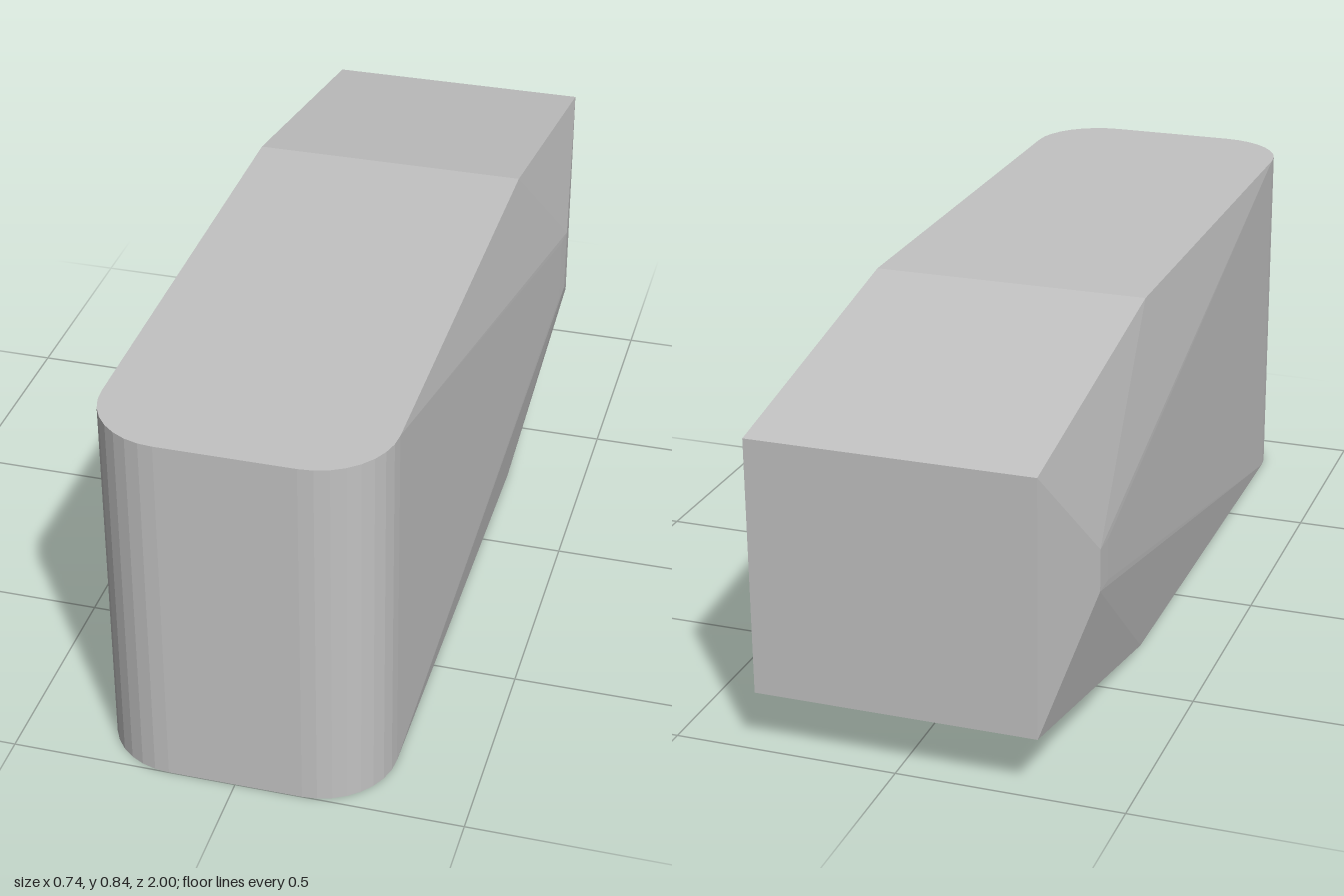
import * as THREE from 'three';
import { ConvexGeometry } from 'three/addons/geometries/ConvexGeometry.js';

export function createModel() {
  const grey = new THREE.MeshStandardMaterial({ color: 0xc2c2c2 });
  grey.name = 'plain grey';

  const halfWidth = 0.313, height = 0.84, radius = 0.165, steps = 8;
  const points = [];
  const add = (x, y, z) => points.push(new THREE.Vector3(x, y, z));

  // side bulges: a small raised facet, further back on the right hand of the model
  const bulges = {
    1: { y: [0.34, 0.50], spots: [[0.3652, -0.60], [0.367, -0.66]] },
    [-1]: { y: [0.37, 0.465], spots: [[0.3685, -0.71], [0.37, -0.77]] },
  };

  for (const side of [1, -1]) {
    // rounded upright front corners
    for (let i = 0; i <= steps; i++) {
      const a = (i / steps) * Math.PI / 2;
      const x = side * (halfWidth - radius + radius * Math.cos(a));
      const z = 1 - radius + radius * Math.sin(a);
      add(x, 0, z);
      add(x, height, z);
    }
    // start of the taper
    add(side * halfWidth, 0, -0.28);
    add(side * halfWidth, height, -0.28);
    // smaller back end
    add(side * halfWidth, 0.135, -1);
    add(side * halfWidth, 0.71, -1);
    // bulge facet
    for (const [x, z] of bulges[side].spots)
      for (const y of bulges[side].y) add(side * x, y, z);
  }

  const body = new THREE.Mesh(new ConvexGeometry(points), grey);
  body.name = 'taperedBody';

  const group = new THREE.Group();
  group.name = 'taperedBlock';
  group.add(body);
  return group;
}
